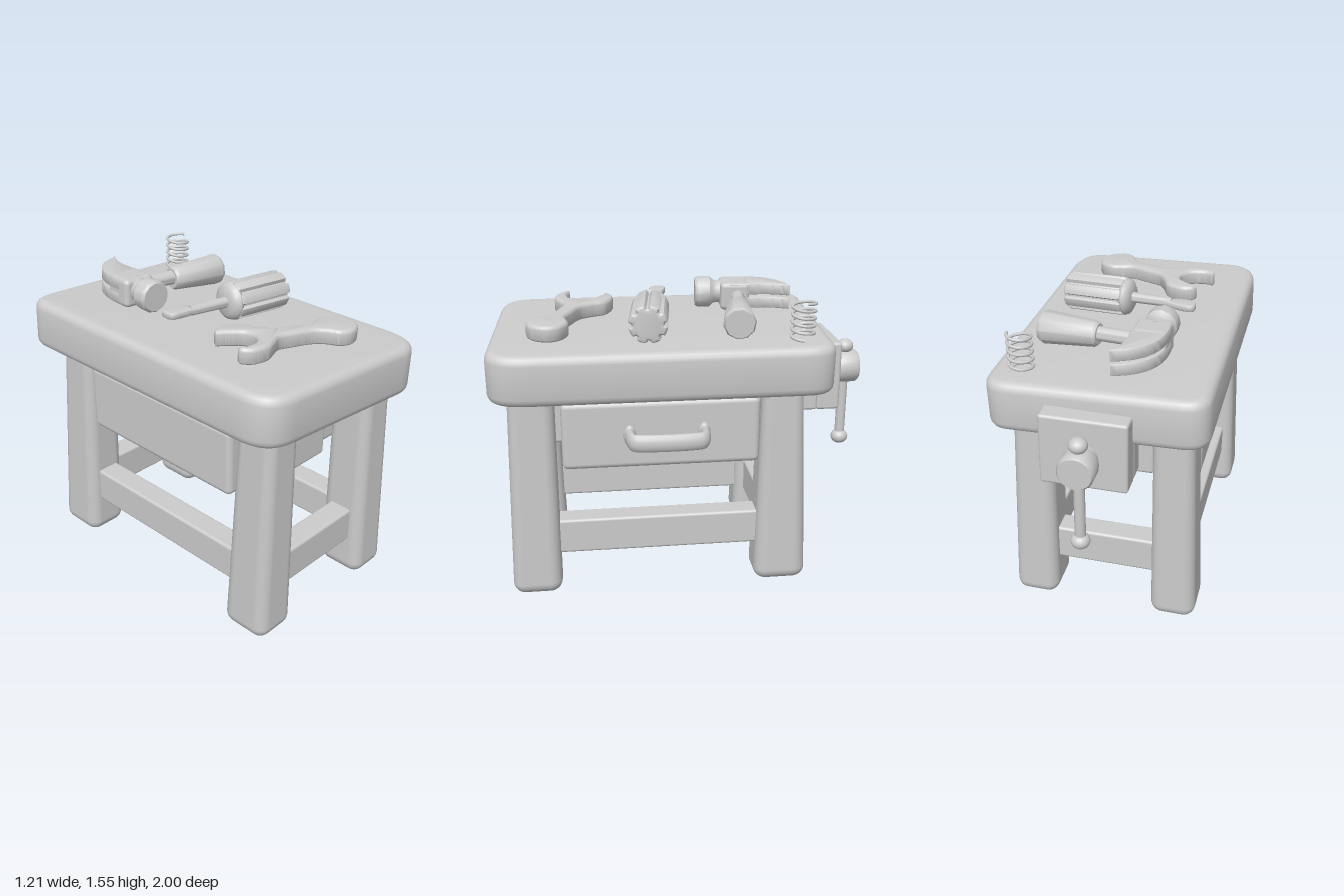
import * as THREE from 'three';
import { toCreasedNormals } from 'three/addons/utils/BufferGeometryUtils.js';
import { RoundedBoxGeometry } from 'three/addons/geometries/RoundedBoxGeometry.js';

const clay = new THREE.MeshStandardMaterial({ color: 0xcccccc });
clay.name = 'clayGrey';

function add(parent, name, geometry, x = 0, y = 0, z = 0) {
  const mesh = new THREE.Mesh(geometry, clay);
  mesh.name = name;
  mesh.position.set(x, y, z);
  parent.add(mesh);
  return mesh;
}

// Rounded box given by its extents
function block(parent, name, [x0, x1], [y0, y1], [z0, z1], r = 0.02) {
  return add(parent, name, new RoundedBoxGeometry(x1 - x0, y1 - y0, z1 - z0, 3, r),
    (x0 + x1) / 2, (y0 + y1) / 2, (z0 + z1) / 2);
}

// Flat outline (in x and -z) raised along y, with a rounded rim; base at y = 0
function slab(shape, height, bevel) {
  const g = new THREE.ExtrudeGeometry(shape, {
    depth: height - 2 * bevel, bevelSize: bevel, bevelThickness: bevel,
    bevelOffset: -bevel, bevelSegments: 4, curveSegments: 16,
  });
  g.translate(0, 0, bevel).rotateX(-Math.PI / 2);
  return toCreasedNormals(g, 0.7);
}

// Lathe of [radius, height] pairs, aimed from one point to another
function turned(parent, name, profile, from, to, segments = 24) {
  const g = new THREE.LatheGeometry(profile.map(p => new THREE.Vector2(...p)), segments);
  const mesh = add(parent, name, toCreasedNormals(g, 0.7), ...from);
  aim(mesh, new THREE.Vector3(0, 1, 0), from, to);
  return mesh;
}

function aim(mesh, axis, from, to) {
  const dir = new THREE.Vector3(...to).sub(new THREE.Vector3(...from)).normalize();
  mesh.quaternion.setFromUnitVectors(axis, dir);
}

// Leg whose x and z extents change from bottom to top
function leg(parent, name, xb, xt, zb, zt) {
  const h = 1.16;
  const g = new RoundedBoxGeometry(0.25, h, 0.27, 5, 0.065);
  const p = g.attributes.position;
  const mix = THREE.MathUtils.lerp;
  for (let i = 0; i < p.count; i++) {
    const t = p.getY(i) / h + 0.5, u = p.getX(i) / 0.25 + 0.5, v = p.getZ(i) / 0.27 + 0.5;
    p.setXYZ(i, mix(mix(xb[0], xt[0], t), mix(xb[1], xt[1], t), u), t * h + 0.005,
      mix(mix(zb[0], zt[0], t), mix(zb[1], zt[1], t), v));
  }
  add(parent, name, g);
}

function buildTable(root) {
  // Worktop: uneven rounded rectangle, tipped slightly to one side
  const s = new THREE.Shape();
  s.moveTo(-0.605, 0.65);
  s.quadraticCurveTo(-0.605, 0.77, -0.47, 0.77);
  s.lineTo(0.36, 0.75);
  s.quadraticCurveTo(0.49, 0.75, 0.49, 0.6);
  s.lineTo(0.49, -0.78);
  s.quadraticCurveTo(0.49, -1, 0.33, -0.995);
  s.lineTo(-0.42, -0.955);
  s.quadraticCurveTo(-0.605, -0.95, -0.605, -0.75);
  s.closePath();
  const top = add(root, 'worktop', slab(s, 0.26, 0.045), 0, 1.098, 0);
  top.rotation.z = -0.037;

  // Legs
  const left = [[0.19, 0.425], [0.2, 0.4]], right = [[-0.56, -0.32], [-0.51, -0.305]];
  leg(root, 'frontLeftLeg', ...left, [0.67, 0.93], [0.67, 0.9]);
  leg(root, 'backLeftLeg', ...left, [-0.65, -0.365], [-0.6, -0.39]);
  leg(root, 'frontRightLeg', ...right, [0.64, 0.91], [0.67, 0.89]);
  leg(root, 'backRightLeg', ...right, [-0.66, -0.38], [-0.61, -0.39]);

  // Lower rails
  for (const [name, z] of [['frontRail', 0.79], ['backRail', -0.5]])
    block(root, name, [-0.37, 0.25], [0.22, 0.41], [z - 0.065, z + 0.065], 0.015);
  for (const [name, x] of [['leftRail', 0.3], ['rightRail', -0.425]])
    block(root, name, [x - 0.065, x + 0.065], [0.22, 0.41], [-0.42, 0.72], 0.015);

  // Drawer, and the cabinet core that passes through it
  block(root, 'drawer', [-0.515, 0.45], [0.73, 1.085], [-0.365, 0.64], 0.03);
  block(root, 'cabinetCore', [-0.285, 0.11], [0.745, 1.09], [-0.44, 0.72], 0.02);

  // Drawer handle: oval tube with swollen feet
  const path = new THREE.CatmullRomCurve3([
    [0.42, 0.3], [0.5, 0.3], [0.56, 0.285], [0.575, 0.23], [0.575, -0.01],
    [0.56, -0.06], [0.5, -0.075], [0.42, -0.075],
  ].map(([x, z]) => new THREE.Vector3(x, 0, z)));
  const handle = new THREE.Group();
  handle.name = 'drawerHandle';
  handle.position.y = 0.91;
  handle.scale.y = 1.75;
  add(handle, 'handleBar', new THREE.TubeGeometry(path, 48, 0.026, 14));
  for (const z of [0.3, -0.075]) add(handle, 'handleFoot', new THREE.SphereGeometry(0.032, 16, 12), 0.46, 0, z);
  root.add(handle);
}

function buildVise(root) {
  const vise = new THREE.Group();
  vise.name = 'vise';
  root.add(vise);
  block(vise, 'innerJaw', [-0.25, 0.18], [0.9, 1.14], [-0.73, -0.62], 0.015);
  block(vise, 'outerJaw', [-0.25, 0.18], [0.9, 1.27], [-0.85, -0.725], 0.015);
  turned(vise, 'screw', [[0, 0], [0.075, 0], [0.075, 0.4]], [-0.04, 1.0, -0.4], [-0.04, 1.0, -1]);
  turned(vise, 'screwHead', [[0, 0], [0.07, 0], [0.07, 0.04], [0.085, 0.05], [0.09, 0.07],
    [0.09, 0.145], [0.08, 0.16], [0, 0.16]], [-0.04, 1.075, -0.84], [-0.04, 1.075, -1]);
  add(vise, 'turningBar', new THREE.CylinderGeometry(0.027, 0.027, 0.53, 16), -0.04, 0.925, -0.93);
  add(vise, 'barTopKnob', new THREE.SphereGeometry(0.046, 20, 14), -0.04, 1.19, -0.93).scale.y = 0.85;
  add(vise, 'barBottomKnob', new THREE.SphereGeometry(0.048, 20, 14), -0.04, 0.655, -0.93).scale.y = 0.85;
}

function buildHammer(tools) {
  const hammer = new THREE.Group();
  hammer.name = 'hammer';
  tools.add(hammer);
  const y = 0.09;
  turned(hammer, 'hammerShaft', [[0, 0], [0.037, 0], [0.037, 0.28]], [-0.2, y, -0.35], [0.1, y, -0.3]);
  turned(hammer, 'hammerGrip', [[0, 0], [0.055, 0], [0.065, 0.015], [0.085, 0.29], [0.075, 0.31], [0, 0.31]],
    [0.025, y - 0.005, -0.312], [0.34, y - 0.005, -0.267], 10);
  const body = add(hammer, 'hammerBody', new RoundedBoxGeometry(0.18, 0.15, 0.16, 3, 0.025), -0.245, y, -0.335);
  body.rotation.y = -0.06;
  turned(hammer, 'hammerFace', [[0, 0], [0.07, 0], [0.06, 0.06], [0.065, 0.08], [0.085, 0.1], [0.085, 0.165],
    [0.075, 0.18], [0, 0.18]], [-0.248, y + 0.01, -0.3], [-0.265, y + 0.01, -0.1], 12);
  // Claw: two curved prongs, one over the other
  const s = new THREE.Shape();
  s.moveTo(-0.335, 0.3);
  s.quadraticCurveTo(-0.35, 0.58, -0.11, 0.622);
  s.quadraticCurveTo(-0.17, 0.53, -0.155, 0.4);
  s.lineTo(-0.16, 0.3);
  s.closePath();
  for (const lift of [0.025, 0.1]) add(hammer, 'hammerClaw', slab(s, 0.062, 0.008), 0, lift, 0);
}

function buildScrewdriver(tools) {
  const driver = new THREE.Group();
  driver.name = 'screwdriver';
  tools.add(driver);
  const y = 0.092, from = [-0.03, y, 0.145], to = [0.33, y, 0.192];
  turned(driver, 'screwdriverShaft', [[0, 0], [0.025, 0], [0.028, 0.24]], [-0.25, y, 0.11], from);
  // Flat blade
  const s = new THREE.Shape();
  s.moveTo(-0.21, -0.085);
  s.splineThru([[-0.28, -0.055], [-0.35, -0.035], [-0.38, -0.055], [-0.37, -0.115], [-0.3, -0.13], [-0.22, -0.135]]
    .map(p => new THREE.Vector2(...p)));
  s.closePath();
  add(driver, 'screwdriverBlade', slab(s, 0.035, 0.01), 0, y - 0.018, 0);
  turned(driver, 'screwdriverCollar', [[0, -0.005], [0.065, -0.005], [0.09, 0.01], [0.098, 0.03], [0.085, 0.05],
    [0.07, 0.07], [0, 0.07]], from, to);
  // Fluted grip
  const outline = [];
  for (let i = 0; i < 64; i++) {
    const a = i / 64 * Math.PI * 2, r = i % 8 < 2 ? 0.083 : 0.1;
    outline.push(new THREE.Vector2(Math.cos(a) * r, Math.sin(a) * r));
  }
  const grip = new THREE.ExtrudeGeometry(new THREE.Shape(outline), {
    depth: 0.29, bevelSize: 0.02, bevelOffset: -0.02, bevelThickness: 0.02, bevelSegments: 3,
  }).translate(0, 0, 0.05);
  const mesh = add(driver, 'screwdriverGrip', toCreasedNormals(grip, 0.5), ...from);
  aim(mesh, new THREE.Vector3(0, 0, 1), from, to);
}

function buildWrench(tools) {
  // Outline runs around the open jaw, down the shank and round the ring
  const s = new THREE.Shape();
  const pts = list => list.map(([x, z]) => new THREE.Vector2(x, -z));
  s.moveTo(-0.335, -0.37);
  s.splineThru(pts([[-0.31, 0.34], [-0.25, 0.335], [-0.17, 0.375], [-0.135, 0.45], [-0.09, 0.515], [0.0, 0.56],
    [0.08, 0.595], [0.13, 0.59], [0.2, 0.583], [0.265, 0.625], [0.285, 0.69], [0.25, 0.765], [0.18, 0.795],
    [0.115, 0.77], [0.08, 0.71], [0.03, 0.665], [-0.06, 0.63], [-0.14, 0.605], [-0.2, 0.625], [-0.27, 0.65],
    [-0.35, 0.635], [-0.395, 0.59], [-0.39, 0.565]]));
  s.splineThru(pts([[-0.34, 0.58], [-0.27, 0.57], [-0.225, 0.52], [-0.23, 0.46], [-0.27, 0.42], [-0.335, 0.37]]));
  const hole = new THREE.Path();
  hole.absarc(0.18, -0.69, 0.038, 0, Math.PI * 2, true);
  s.holes.push(hole);
  add(tools, 'wrench', slab(s, 0.085, 0.02), 0, 0.003, 0);
}

function buildSpring(tools) {
  const turns = 5, points = [];
  for (let i = 0; i <= turns * 12; i++) {
    const a = i / 12 * Math.PI * 2;
    points.push(new THREE.Vector3(Math.cos(a) * 0.058, i / (turns * 12) * 0.19, Math.sin(a) * 0.058));
  }
  add(tools, 'spring', new THREE.TubeGeometry(new THREE.CatmullRomCurve3(points), 160, 0.008, 8), 0.335, 0.005, -0.59);
}

export function createModel() {
  const root = new THREE.Group();
  root.name = 'workbench';
  buildTable(root);
  buildVise(root);
  // Tools lie on the tipped worktop
  const tools = new THREE.Group();
  tools.name = 'tools';
  tools.position.y = 1.357;
  tools.rotation.z = -0.037;
  root.add(tools);
  for (const build of [buildHammer, buildScrewdriver, buildWrench, buildSpring]) build(tools);
  return root;
}
